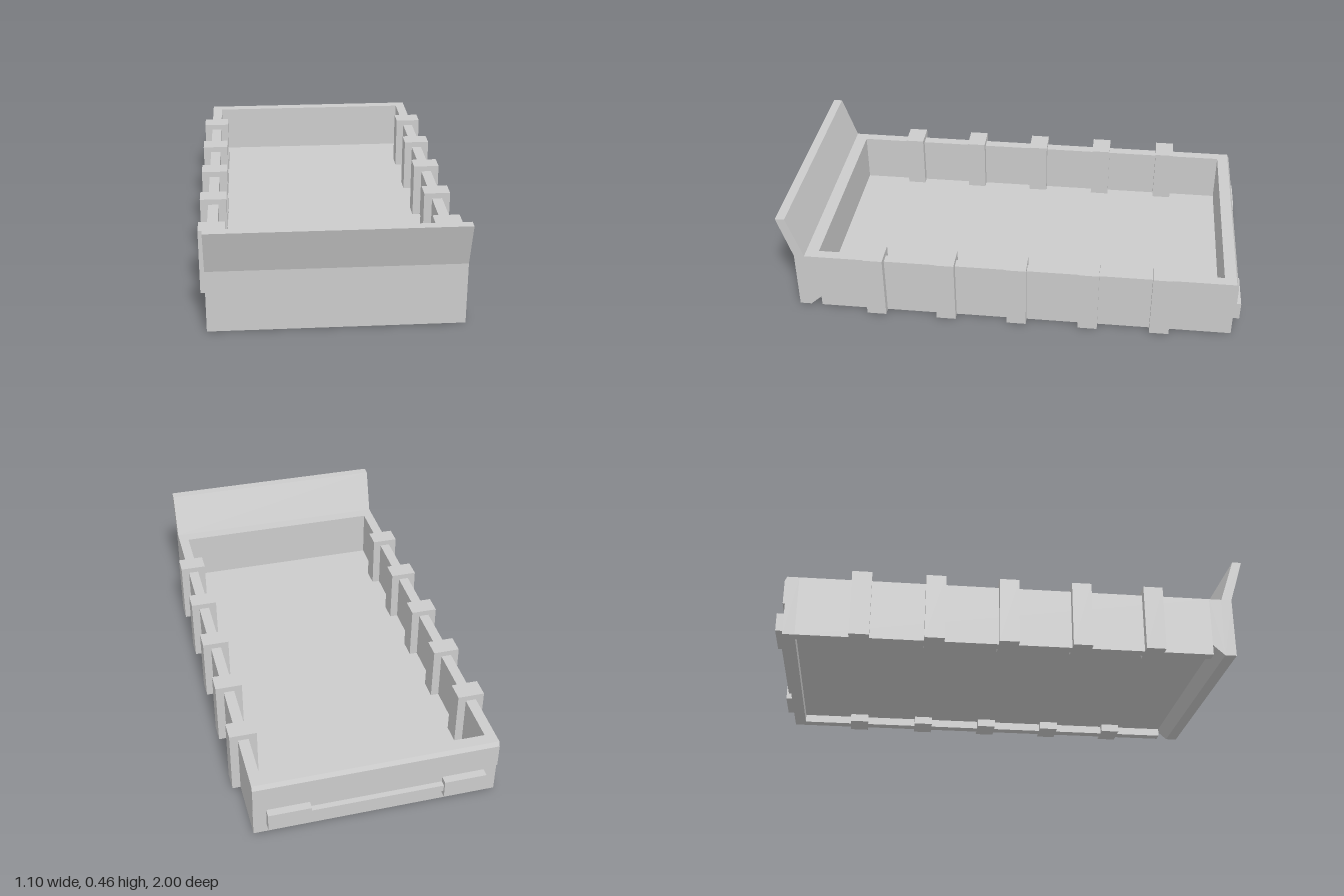
import * as THREE from 'three';

const material = new THREE.MeshStandardMaterial({ color: 0xcccccc, flatShading: true });

export function createModel() {
  const model = new THREE.Group();
  model.name = 'cargoBed';

  function add(name, geometry) {
    const mesh = new THREE.Mesh(geometry, material);
    mesh.name = name;
    model.add(mesh);
  }
  // Box given by its limits on each axis
  function box(name, x0, x1, y0, y1, z0, z1) {
    const g = new THREE.BoxGeometry(x1 - x0, y1 - y0, z1 - z0);
    g.translate((x0 + x1) / 2, (y0 + y1) / 2, (z0 + z1) / 2);
    add(name, g);
  }
  // Closed [z, y] profile extruded across the width
  function acrossProfile(name, points, halfWidth) {
    const shape = new THREE.Shape(points.map(([z, y]) => new THREE.Vector2(-z, y)));
    const g = new THREE.ExtrudeGeometry(shape, { depth: halfWidth * 2, bevelEnabled: false });
    g.translate(0, 0, -halfWidth);
    g.rotateY(Math.PI / 2);
    add(name, g);
  }

  const W = 0.515, inner = 0.47, top = 0.265;

  // Thin floor, raised slightly above the lower rim
  box('floor', -inner, inner, 0.035, 0.045, -0.915, 0.84);

  // Front wall with the outward leaning headboard
  acrossProfile('frontWall', [
    [0.94, 0], [0.94, top], [1.0, 0.455], [0.96, 0.455], [0.895, top],
    [0.84, top], [0.84, 0.045], [0.89, 0],
  ], W);

  // Back wall and its raised tailgate panel with a bevelled top
  box('backWall', -W, W, 0, top, -0.965, -0.915);
  acrossProfile('tailgatePanel', [
    [-0.96, 0.14], [-0.96, top], [-0.965, top], [-0.974, 0.245], [-0.974, 0.14],
  ], W);

  // Side walls, stakes and rear lamps, mirrored
  for (const s of [1, -1]) {
    const side = s > 0 ? 'left' : 'right';
    const mirrored = (name, a, b, ...rest) =>
      box(side + name, Math.min(s * a, s * b), Math.max(s * a, s * b), ...rest);
    mirrored('SideWall', inner, W, 0, top, -0.915, 0.84);
    for (let i = 0; i < 5; i++) {
      const z = 0.585 - 0.31 * i;
      mirrored('Stake' + (i + 1), 0.435, 0.55, 0, 0.29, z - 0.042, z + 0.042);
    }
    mirrored('RearLamp', 0.28, 0.46, 0.04, 0.12, -1, -0.96);
  }

  // Bar joining the lamps
  box('rearBar', -0.28, 0.28, 0.065, 0.095, -0.99, -0.96);

  return model;
}
